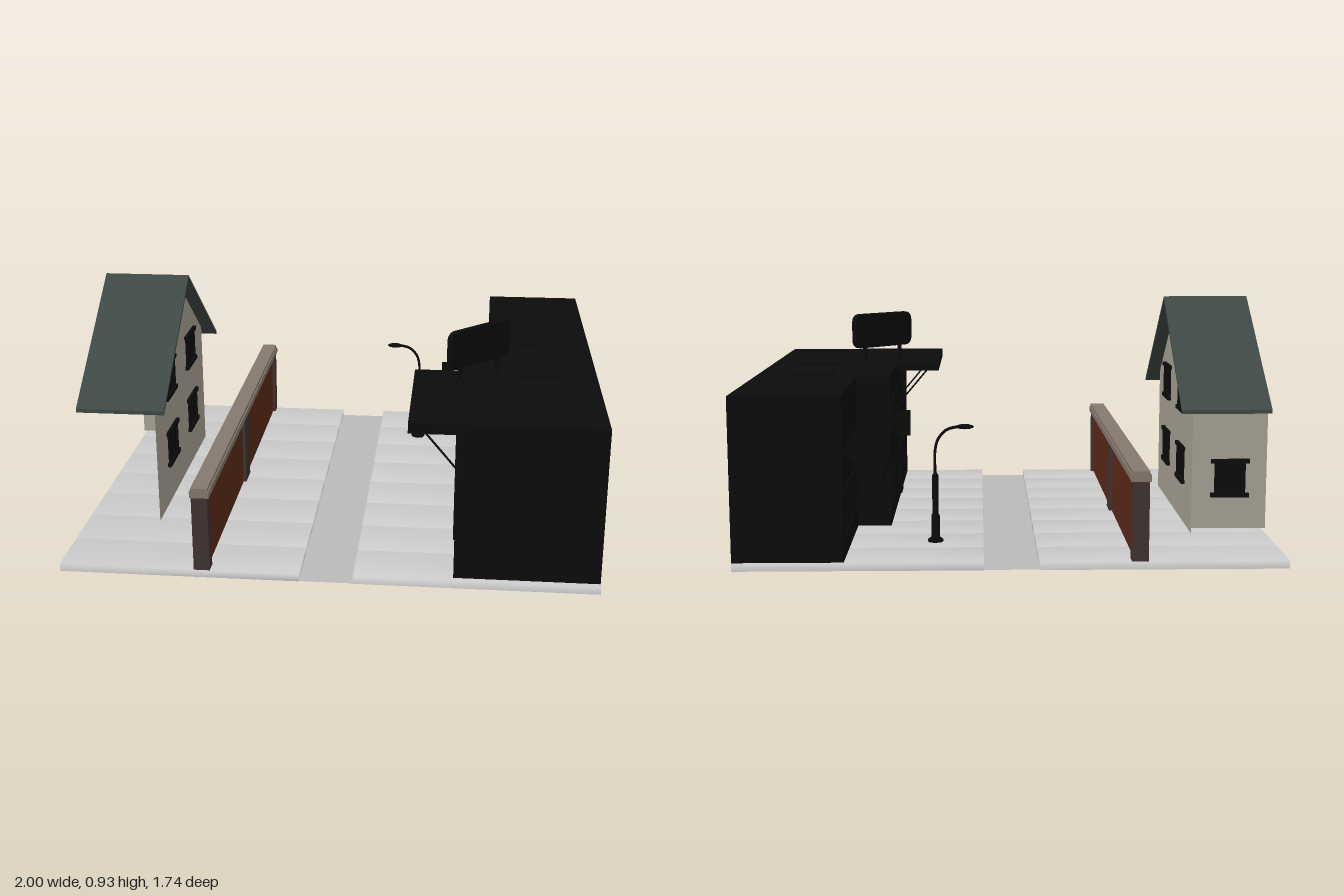
import * as THREE from 'three';

const mat = (color, side = THREE.DoubleSide) => new THREE.MeshStandardMaterial({ color, side });
const PAVE = mat(0xcccccc), BLACK = mat(0x0b0b0b), WALL = mat(0xa8a294), ROOF = mat(0x3e4844);
const BRICK = mat(0x5c2a18), POST = mat(0x41332f), CAP = mat(0x86786e), ROAD = mat(0xbababa);
const BLACK_FRONT = mat(0x0b0b0b, THREE.FrontSide);

function add(parent, name, geo, material, x = 0, y = 0, z = 0, ry = 0) {
  const m = new THREE.Mesh(geo, material);
  m.name = name;
  m.position.set(x, y, z);
  m.rotation.y = ry;
  parent.add(m);
  return m;
}
function group(parent, name) {
  const g = new THREE.Group();
  g.name = name;
  parent.add(g);
  return g;
}
// box given by its minimum and maximum corners
function box(parent, name, material, [x0, y0, z0], [x1, y1, z1]) {
  return add(parent, name, new THREE.BoxGeometry(x1 - x0, y1 - y0, z1 - z0), material,
    (x0 + x1) / 2, (y0 + y1) / 2, (z0 + z1) / 2);
}
// upright sheet standing between two ground points
function sheet(parent, name, material, [xa, za], [xb, zb], y0, y1) {
  const len = Math.hypot(xb - xa, zb - za);
  return add(parent, name, new THREE.PlaneGeometry(len, y1 - y0), material,
    (xa + xb) / 2, (y0 + y1) / 2, (za + zb) / 2, Math.atan2(-(zb - za), xb - xa));
}
function flat(parent, name, material, x0, x1, z0, z1, y) {
  const g = new THREE.PlaneGeometry(x1 - x0, z1 - z0).rotateX(-Math.PI / 2);
  return add(parent, name, g, material, (x0 + x1) / 2, y, (z0 + z1) / 2);
}
function rod(parent, name, a, b, r, material = BLACK) {
  const path = new THREE.LineCurve3(new THREE.Vector3(...a), new THREE.Vector3(...b));
  return add(parent, name, new THREE.TubeGeometry(path, 1, r, 6), material);
}

// paving slab: shallow sheet folded down on three sides, open outwards and below
function slabGeometry(z0, z1) {
  const corners = [[0.1, z0], [1, z0], [1, z1], [0.1, z1]];
  const pos = [0.03, 0].flatMap(y => corners.flatMap(([x, z]) => [x, y, z]));
  const g = new THREE.BufferGeometry();
  g.setAttribute('position', new THREE.Float32BufferAttribute(pos, 3));
  g.setIndex([0, 3, 2, 0, 2, 1, 0, 1, 5, 0, 5, 4, 3, 7, 6, 3, 6, 2, 0, 4, 7, 0, 7, 3]);
  g.computeVertexNormals();
  return g;
}
function buildGround(root) {
  const g = group(root, 'ground');
  const step = 1.735 / 8;
  for (let i = 0; i < 8; i++) {
    const z = -0.8675 + i * step;
    const geo = slabGeometry(z + 0.001, z + step - 0.001);
    add(g, 'rightPavingSlab', geo, PAVE).scale.x = -1;
    add(g, 'leftPavingSlab', geo, PAVE);
  }
  flat(g, 'road', ROAD, -0.1, 0.1, -0.8675, 0.8675, 0.002);
}

// brick wall in two equal lengths with posts and a coping
function buildBrickWall(root) {
  const g = group(root, 'brickWall');
  for (const z0 of [-0.8675, 0]) {
    const z1 = z0 + 0.8675;
    box(g, 'brickPanel', BRICK, [-0.477, 0.03, z0 + 0.03], [-0.443, 0.325, z1 - 0.03]);
    box(g, 'coping', CAP, [-0.497, 0.32, z0], [-0.425, 0.345, z1]);
    box(g, 'copingTop', CAP, [-0.492, 0.345, z0], [-0.43, 0.357, z1]);
    for (const z of [z0, z1 - 0.05])
      box(g, 'post', POST, [-0.491, 0.03, z], [-0.431, 0.32, z + 0.05]);
  }
}

// framed window facing +z, centred on its own origin
function windowUnit(parent, name, w, h, x, y, z, ry, depth = 0.01) {
  const g = group(parent, name);
  g.position.set(x, y, z);
  g.rotation.y = ry;
  const rect = (s, a, b) => s.moveTo(-a, -b).lineTo(a, -b).lineTo(a, b).lineTo(-a, b).closePath();
  const frame = rect(new THREE.Shape(), w / 2, h / 2);
  frame.holes.push(rect(new THREE.Path(), w / 2 - 0.015, h / 2 - 0.015));
  add(g, 'windowFrame', new THREE.ExtrudeGeometry(frame, { depth, bevelEnabled: false }), BLACK);
  add(g, 'glass', new THREE.PlaneGeometry(w - 0.02, h - 0.02), BLACK, 0, 0, depth * 0.3);
  for (const s of [-1, 1])
    add(g, s < 0 ? 'sill' : 'lintel', new THREE.BoxGeometry(w + 0.03, 0.016, depth * 1.4), BLACK,
      0, s * (h / 2 - 0.008), depth * 0.7);
  add(g, 'mullion', new THREE.BoxGeometry(0.008, h, depth * 0.8), BLACK, 0, 0, depth * 0.4);
}

function buildHouse(root) {
  const g = group(root, 'house');
  // gable wall towards the street
  const s = new THREE.Shape();
  s.moveTo(-0.46, 0.03).lineTo(0.46, 0.03).lineTo(0.46, 0.565).lineTo(0, 0.912).lineTo(-0.46, 0.565);
  add(g, 'gableWall', new THREE.ShapeGeometry(s), WALL, -0.71, 0, 0.008, Math.PI / 2);
  sheet(g, 'backWall', WALL, [-0.71, -0.452], [-1, -0.452], 0.05, 0.565);
  // thin pitched roof
  const r = new THREE.Shape();
  r.moveTo(-0.533, 0.527).lineTo(0, 0.928).lineTo(0.533, 0.527).lineTo(0.533, 0.512).lineTo(0, 0.913)
    .lineTo(-0.533, 0.512);
  add(g, 'roof', new THREE.ExtrudeGeometry(r, { depth: 0.345, bevelEnabled: false }), ROOF,
    -1, 0, 0.008, Math.PI / 2);
  for (const z of [0.205, -0.19])
    for (const y of [0.265, 0.55]) windowUnit(g, 'gableWindow', 0.15, 0.15, -0.71, y, z, Math.PI / 2);
  windowUnit(g, 'backWindow', 0.12, 0.15, -0.857, 0.25, -0.452, Math.PI);
}

// street lamp with a curved arm
function buildLamp(root) {
  const g = group(root, 'streetLamp');
  g.position.set(0.282, 0.03, -0.555);
  const prof = [[0, 0], [0.03, 0], [0.03, 0.008], [0.017, 0.018], [0.016, 0.1], [0.012, 0.108],
    [0.012, 0.255], [0.006, 0.265], [0, 0.265]].map(p => new THREE.Vector2(...p));
  add(g, 'lampPost', new THREE.LatheGeometry(prof, 8), BLACK);
  const arc = new THREE.CatmullRomCurve3([[0, 0.25], [0, 0.35], [-0.012, 0.395], [-0.045, 0.43], [-0.09, 0.442]]
    .map(([x, y]) => new THREE.Vector3(x, y, 0)));
  add(g, 'lampArm', new THREE.TubeGeometry(arc, 14, 0.006, 6), BLACK);
  const head = add(g, 'lampHead', new THREE.SphereGeometry(1, 10, 6), BLACK, -0.112, 0.441, 0);
  head.scale.set(0.035, 0.01, 0.016);
}

// shop building: a shell open on its outer side
function buildShop(root) {
  const g = group(root, 'shopBuilding');
  const plan = [[1, -0.862], [0.6, -0.862], [0.6, -0.295], [0.467, -0.295], [0.467, 0.843]];
  for (let i = 0; i < 4; i++) sheet(g, 'shopWall', BLACK, plan[i], plan[i + 1], 0.03, 0.63);
  sheet(g, 'frontWall', BLACK, plan[4], [1, 0.843], 0.03, 0.595);
  flat(g, 'backRoof', BLACK, 0.6, 1, -0.862, -0.295, 0.63);
  flat(g, 'middleRoof', BLACK, 0.467, 1, -0.295, 0.25, 0.63);
  // projecting roof with its rim and soffit
  flat(g, 'projectingRoof', BLACK, 0.292, 1, 0.25, 0.845, 0.63);
  flat(g, 'soffit', BLACK, 0.292, 0.467, 0.25, 0.845, 0.592);
  sheet(g, 'roofRim', BLACK_FRONT, [0.292, 0.845], [1, 0.845], 0.592, 0.63);
  sheet(g, 'roofRim', BLACK, [0.292, 0.25], [0.292, 0.845], 0.592, 0.63);
  sheet(g, 'roofRim', BLACK, [0.467, 0.25], [0.292, 0.25], 0.592, 0.63);
  for (const z of [0.3, 0.8]) rod(g, 'roofBrace', [0.34, 0.595, z], [0.466, 0.445, z], 0.004);
  for (const z of [0.225, -0.175]) box(g, 'roofHatch', BLACK, [0.7, 0.63, z - 0.085], [0.88, 0.638, z + 0.085]);
  // street-side openings
  for (const z of [-0.15, 0.18, 0.6]) {
    windowUnit(g, 'upperWindow', 0.14, 0.13, 0.467, 0.47, z, -Math.PI / 2, 0.004);
    windowUnit(g, 'shopWindow', 0.2, 0.16, 0.467, 0.2, z, -Math.PI / 2, 0.004);
  }
  box(g, 'door', BLACK, [0.462, 0.03, 0.33], [0.468, 0.27, 0.44]);
  windowUnit(g, 'awningShopWindow', 0.4, 0.18, 0.6, 0.2, -0.58, -Math.PI / 2, 0.005);

  // ribbed awning
  const aw = group(g, 'awning');
  const n = 9, w = 0.54 / n, run = 0.132, drop = 0.1;
  for (let i = 0; i < n; i++) {
    const z = -0.85 + (i + 0.5) * w;
    const lift = i % 2 ? 0.004 : 0;
    const strip = add(aw, 'awningStrip', new THREE.BoxGeometry(Math.hypot(run, drop), 0.006, w - 0.003), BLACK,
      0.534, 0.375 + lift, z);
    strip.rotation.z = Math.atan2(drop, run);
    box(aw, 'awningValance', BLACK, [0.465, 0.305, z - w / 2 + 0.002], [0.47, 0.328, z + w / 2 - 0.002]);
  }

  // blade sign on a bracket
  const sign = group(g, 'hangingSign');
  box(sign, 'signBoard', BLACK, [0.39, 0.39, -0.268], [0.443, 0.492, -0.254]);
  for (const y of [0.415, 0.465]) rod(sign, 'signBracket', [0.44, y, -0.261], [0.468, y, -0.261], 0.005);
}

// rounded billboard set diagonally on the roof
function buildBillboard(root) {
  const g = group(root, 'billboard');
  g.position.set(0.54, 0.63, 0.32);
  g.rotation.y = Math.PI / 4;
  const a = 0.16, h = 0.07, r = 0.035, s = new THREE.Shape();
  s.moveTo(-a + r, -h).lineTo(a - r, -h).quadraticCurveTo(a, -h, a, -h + r).lineTo(a, h - r)
    .quadraticCurveTo(a, h, a - r, h).lineTo(-a + r, h).quadraticCurveTo(-a, h, -a, h - r)
    .lineTo(-a, -h + r).quadraticCurveTo(-a, -h, -a + r, -h);
  const geo = new THREE.ExtrudeGeometry(s, { depth: 0.016, bevelThickness: 0.004, bevelSize: 0.004, bevelSegments: 1 });
  add(g, 'board', geo, BLACK, 0, 0.136, -0.008);
  for (const x of [-0.1, 0.1]) {
    rod(g, 'boardLeg', [x, 0, 0], [x, 0.08, 0], 0.009);
    add(g, 'legFoot', new THREE.CylinderGeometry(0.011, 0.017, 0.012, 8), BLACK, x, 0.006, 0);
  }
}

export function createModel() {
  const root = new THREE.Group();
  root.name = 'streetScene';
  [buildGround, buildBrickWall, buildHouse, buildLamp, buildShop, buildBillboard].forEach(f => f(root));
  return root;
}
